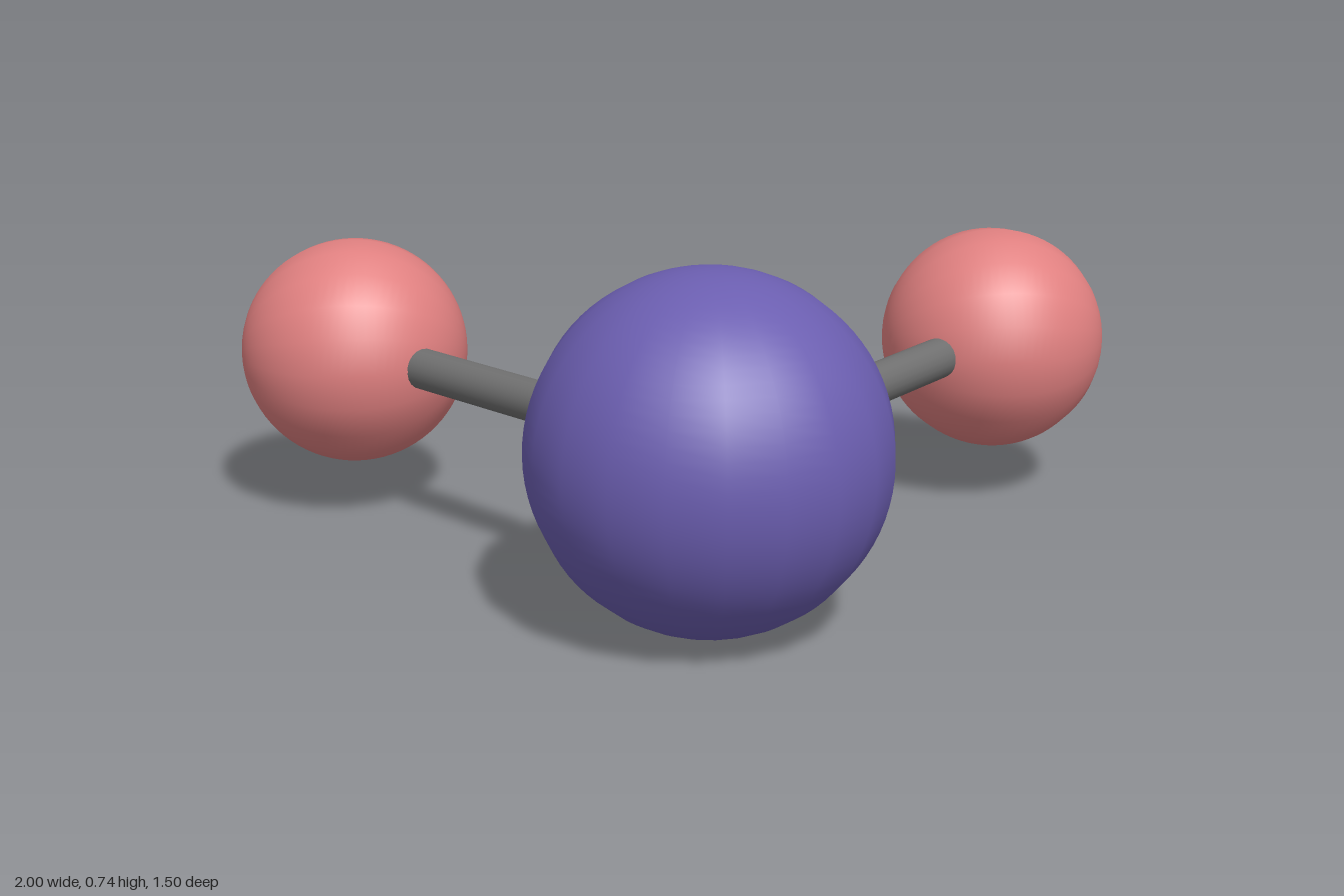
import * as THREE from 'three';

export function createModel() {
  const model = new THREE.Group();
  const core = new THREE.MeshStandardMaterial({ color: 0x6b5eb0 });
  const outer = new THREE.MeshStandardMaterial({ color: 0xe08080 });
  const grey = new THREE.MeshStandardMaterial({ color: 0x707070 });

  const add = (name, geometry, material, position) => {
    const mesh = new THREE.Mesh(geometry, material);
    mesh.name = name;
    mesh.position.copy(position);
    model.add(mesh);
    return mesh;
  };

  // Large central ball
  const centre = new THREE.Vector3(0, 0.372, 0.38);
  add('centralBall', new THREE.SphereGeometry(0.368, 20, 40), core, centre);

  // Two outer balls (poles along x), each joined to the centre by a rod
  const ballGeometry = new THREE.SphereGeometry(0.257, 20, 40).rotateZ(Math.PI / 2);
  const up = new THREE.Vector3(0, 1, 0);
  for (const [side, sign] of [['left', 1], ['right', -1]]) {
    const end = new THREE.Vector3(sign * 0.743, 0.372, -0.497);
    add(side + 'Ball', ballGeometry, outer, end);

    const span = end.clone().sub(centre);
    const rodGeometry = new THREE.CylinderGeometry(0.046, 0.046, span.length(), 20);
    const rod = add(side + 'Rod', rodGeometry, grey, centre.clone().add(end).multiplyScalar(0.5));
    rod.quaternion.setFromUnitVectors(up, span.normalize());
  }
  return model;
}
